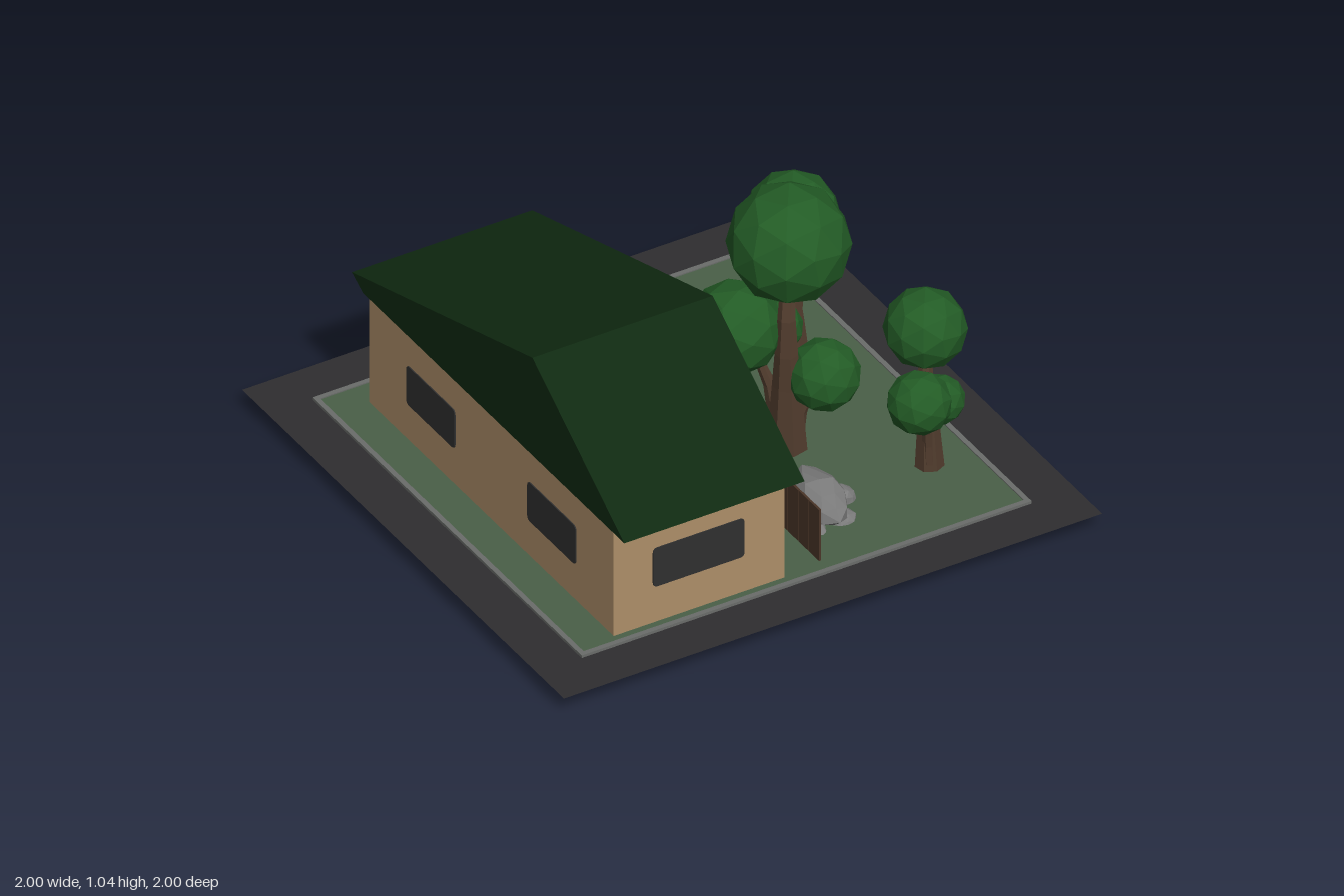
import * as THREE from 'three';

const mat = (name, color, side = THREE.FrontSide) => {
  const m = new THREE.MeshStandardMaterial({ color, side });
  m.name = name;
  return m;
};

export function createModel() {
  const road = mat('asphalt', 0x2f2e30, THREE.DoubleSide);
  const grass = mat('grass', 0x4a6048);
  const curbGrey = mat('curbGrey', 0x6a6d6a);
  const wall = mat('wallTan', 0xae8f69);
  const roofGreen = mat('roofGreen', 0x0f2a11);
  const glass = mat('windowDark', 0x303030);
  const wood = mat('fenceBrown', 0x4a3527);
  const bark = mat('barkBrown', 0x523d2e, THREE.DoubleSide);
  const leaf = mat('leafGreen', 0x235c26);
  const stone = mat('stoneGrey', 0x7c7c7c);

  const model = new THREE.Group();
  model.name = 'houseAndGarden';
  const add = (parent, name, geo, material, x = 0, y = 0, z = 0) => {
    const m = new THREE.Mesh(geo, material);
    m.name = name;
    m.position.set(x, y, z);
    parent.add(m);
    return m;
  };
  const group = (name) => {
    const g = new THREE.Group();
    g.name = name;
    model.add(g);
    return g;
  };
  const flat = (geo) => {
    const g = geo.index ? geo.toNonIndexed() : geo;
    g.computeVertexNormals();
    return g;
  };

  // Square frame shape, lying flat once rotated
  const frame = (outer, inner) => {
    const square = (P, r) => new P([[-r, -r], [r, -r], [r, r], [-r, r]].map(([x, y]) => new THREE.Vector2(x, y)));
    const s = square(THREE.Shape, outer);
    s.holes.push(square(THREE.Path, inner));
    return s;
  };

  // Ground: road ring, curb and lawn
  const ground = group('ground');
  add(ground, 'road', new THREE.ShapeGeometry(frame(1, 0.83)).rotateX(-Math.PI / 2), road, 0, 0.066, 0);
  const curb = new THREE.ExtrudeGeometry(frame(0.836, 0.818), { depth: 0.014, bevelEnabled: false });
  add(ground, 'curb', curb.rotateX(-Math.PI / 2), curbGrey, 0, 0.062, 0);
  add(ground, 'lawn', new THREE.BoxGeometry(1.65, 0.01, 1.65), grass, 0, 0.067, 0);

  // House walls and asymmetric gable roof
  const house = group('house');
  add(house, 'walls', new THREE.BoxGeometry(0.634, 0.43, 1.515), wall, -0.373, 0.285, 0.033);
  const profile = new THREE.Shape([[0.89, 0.5], [0.32, 0.88], [-0.8, 0.54], [-0.73, 0.5]]
    .map(([z, y]) => new THREE.Vector2(z, y)));
  const roof = new THREE.ExtrudeGeometry(profile, { depth: 0.67, bevelEnabled: false });
  add(house, 'roof', roof.rotateY(-Math.PI / 2), roofGreen, -0.04, 0, 0);

  // Windows: thin rounded plates, facing the given angle
  const windowPlate = (w, x, z, angle) => {
    const h = 0.15, r = 0.018, a = w / 2, b = h / 2;
    const s = new THREE.Shape();
    s.moveTo(-a + r, -b).lineTo(a - r, -b).quadraticCurveTo(a, -b, a, -b + r);
    s.lineTo(a, b - r).quadraticCurveTo(a, b, a - r, b);
    s.lineTo(-a + r, b).quadraticCurveTo(-a, b, -a, b - r);
    s.lineTo(-a, -b + r).quadraticCurveTo(-a, -b, -a + r, -b);
    const g = new THREE.ExtrudeGeometry(s, { depth: 0.005, bevelEnabled: false, curveSegments: 4 });
    add(house, 'window', g, glass, x, 0.285, z).rotation.y = angle;
  };
  windowPlate(0.34, -0.375, 0.789, 0);
  windowPlate(0.34, -0.375, -0.723, Math.PI);
  for (const z of [0.41, -0.34]) {
    windowPlate(0.3, -0.057, z, Math.PI / 2);
    windowPlate(0.3, -0.689, z, -Math.PI / 2);
  }
  windowPlate(0.14, -0.057, 0.03, Math.PI / 2);

  // Fence of upright planks
  const fence = group('fence');
  const plank = new THREE.BoxGeometry(0.008, 0.2, 0.0625);
  for (let i = 0; i < 24; i++) add(fence, 'plank', plank, wood, 0.09, 0.17, 0.738 - i * 0.0656);

  // Tapered limb along a curve
  const limb = (points, r0, r1) => {
    const curve = new THREE.CatmullRomCurve3(points.map((p) => new THREE.Vector3(...p)));
    const n = 6, sides = 7;
    const g = new THREE.TubeGeometry(curve, n, 1, sides);
    const v = new THREE.Vector3(), pos = g.attributes.position;
    for (let i = 0; i < pos.count; i++) {
      const t = Math.floor(i / (sides + 1)) / n;
      const c = curve.getPointAt(t);
      const r = r1 + (r0 - r1) * Math.pow(1 - t, 1.3);
      v.fromBufferAttribute(pos, i).sub(c).multiplyScalar(r).add(c);
      pos.setXYZ(i, v.x, v.y, v.z);
    }
    return flat(g);
  };

  // Trees: base x, z, trunk radius and crowns as x, y, z, radius
  const trees = [
    { x: 0.33, z: 0.165, r: 0.07, bend: 0.03,
      crowns: [[0.345, 0.848, 0.15, 0.203], [0.195, 0.525, 0.07, 0.157], [0.42, 0.36, 0.24, 0.122]] },
    { x: 0.57, z: -0.2, r: 0.06, bend: 0.0,
      crowns: [[0.56, 0.67, -0.185, 0.156], [0.66, 0.42, -0.27, 0.118], [0.475, 0.29, -0.15, 0.09]] },
    { x: 0.665, z: 0.487, r: 0.05, bend: 0.01,
      crowns: [[0.66, 0.595, 0.47, 0.137], [0.59, 0.375, 0.55, 0.107], [0.735, 0.268, 0.435, 0.083]] },
  ];
  for (const t of trees) {
    const tree = group('tree');
    const [top] = t.crowns;
    const trunk = [[t.x, 0.06, t.z], [t.x - 0.01, 0.3, t.z + t.bend / 2],
      [t.x - 0.02, top[1] - top[3] - 0.06, t.z + t.bend], top.slice(0, 3)];
    add(tree, 'trunk', limb(trunk, t.r, 0.018), bark);
    t.crowns.forEach(([x, y, z, r], i) => {
      const ball = add(tree, 'crown', flat(new THREE.IcosahedronGeometry(r, 1)), leaf, x, y, z);
      ball.rotation.set(0.3 + i, 0.5 * i, 0.2);
      if (i === 0) return;
      const start = [t.x + (x - t.x) * 0.12, 0.06, t.z + (z - t.z) * 0.25];
      const mid = [t.x + (x - t.x) * 0.35, y * 0.62, t.z + (z - t.z) * 0.45];
      add(tree, 'branch', limb([start, mid, [x, y, z]], t.r * 0.55, 0.01), bark);
    });
  }

  // Rock lumps: icosahedra with uneven faces
  const lump = (seed) => {
    const g = new THREE.IcosahedronGeometry(1, 1);
    const p = g.attributes.position;
    for (let i = 0; i < p.count; i++) {
      const x = p.getX(i), y = p.getY(i), z = p.getZ(i);
      const k = 0.95 + 0.07 * Math.sin(5 * x + seed) * Math.cos(4 * y - seed) + 0.05 * Math.sin(6 * z + 2 * seed);
      p.setXYZ(i, x * k, y * k, z * k);
    }
    return flat(g);
  };
  // Each lump: x, y, z, half sizes, turn about y
  const rocks = [
    [[0.265, 0.125, -0.605, 0.09, 0.07, 0.17, 0.3], [0.185, 0.09, -0.675, 0.06, 0.045, 0.055, 0],
      [0.35, 0.085, -0.655, 0.05, 0.045, 0.055, 0.4], [0.225, 0.075, -0.565, 0.055, 0.04, 0.06, 0.8],
      [0.3, 0.075, -0.52, 0.06, 0.045, 0.065, 0.2], [0.25, 0.07, -0.71, 0.05, 0.04, 0.05, 0]],
    [[0.245, 0.11, 0.505, 0.09, 0.068, 0.16, -0.12], [0.325, 0.075, 0.505, 0.05, 0.045, 0.05, 0],
      [0.17, 0.045, 0.615, 0.05, 0.042, 0.055, 0.3], [0.175, 0.085, 0.45, 0.045, 0.05, 0.06, 0],
      [0.26, 0.055, 0.42, 0.06, 0.038, 0.06, 0.5], [0.27, 0.06, 0.595, 0.055, 0.045, 0.06, 0]],
  ];
  rocks.forEach((lumps, j) => {
    const rock = group('rock');
    lumps.forEach(([x, y, z, a, b, c, turn], i) => {
      const m = add(rock, 'stone', lump(j * 7 + i * 1.7), stone, x, y, z);
      m.scale.set(a, b, c);
      m.rotation.y = turn;
    });
  });

  return model;
}
